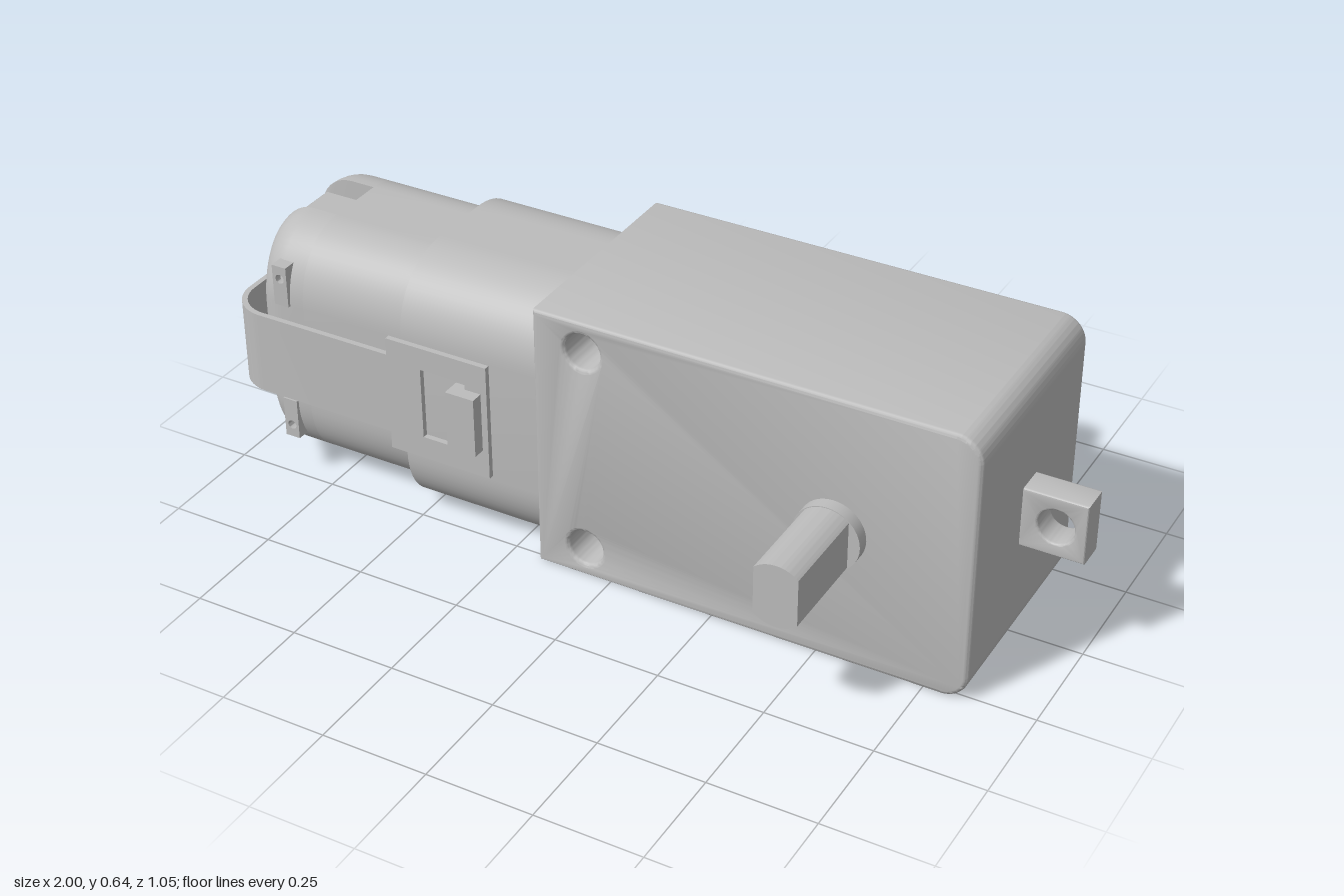
import * as THREE from 'three';
import { toCreasedNormals } from 'three/addons/utils/BufferGeometryUtils.js';

const CY = 0.323; // height of the main axis
const MZ = 0.018; // sideways offset of the motor assembly

export function createModel() {
  const group = new THREE.Group();
  const grey = new THREE.MeshStandardMaterial({ color: 0xbcbcbc });
  grey.name = 'light grey';

  const add = (name, geo, x = 0, y = 0, z = 0) => {
    const mesh = new THREE.Mesh(geo, grey);
    mesh.name = name;
    mesh.position.set(x, y, z);
    group.add(mesh);
    return mesh;
  };
  const box = (name, x0, x1, y0, y1, z0, z1) =>
    add(name, new THREE.BoxGeometry(x1 - x0, y1 - y0, z1 - z0), (x0 + x1) / 2, (y0 + y1) / 2, (z0 + z1) / 2);

  const rect = (x0, x1, y0, y1) =>
    new THREE.Shape([[x0, y0], [x1, y0], [x1, y1], [x0, y1]].map(p => new THREE.Vector2(...p)));
  const circle = (x, y, r) => new THREE.Path().absarc(x, y, r, 0, Math.PI * 2, true);

  // Extrude along z between z0 and z1, with an optional bevel kept inside the outline
  const extrude = (shape, z0, z1, bevel = 0) => {
    const geo = new THREE.ExtrudeGeometry(shape, {
      depth: z1 - z0 - 2 * bevel, curveSegments: 24, bevelEnabled: bevel > 0,
      bevelSize: bevel, bevelThickness: bevel, bevelOffset: -bevel, bevelSegments: 3,
    });
    geo.translate(0, 0, z0 + bevel);
    return toCreasedNormals(geo, 0.6);
  };

  // Rounded motor cross-section, optionally with a notch in the top and bottom
  const section = (hw, hh, notch = hh) => {
    const w = 0.073, k = 0.17;
    const q = new THREE.CubicBezierCurve(
      new THREE.Vector2(hw, hh - k), new THREE.Vector2(hw, hh - k * 0.4),
      new THREE.Vector2(hw * 0.72, hh), new THREE.Vector2(w, hh)).getPoints(14);
    q.push(new THREE.Vector2(w - 0.001, Math.min(hh, notch)));
    const r = [...q].reverse();
    const flip = (list, sz, sy) => list.map(p => [p.x * sz, p.y * sy]);
    return [...flip(q, -1, 1), ...flip(r, 1, 1), ...flip(q, 1, -1), ...flip(r, -1, -1)];
  };

  // Skin closed sections, ordered by increasing x, and close both ends
  const loft = rings => {
    const pos = [], idx = [], n = rings[0].pts.length;
    rings.forEach(({ x, pts }) => pts.forEach(([z, y]) => pos.push(x, y, z)));
    for (let i = 0; i < rings.length - 1; i++) {
      for (let j = 0; j < n; j++) {
        const a = i * n + j, b = i * n + (j + 1) % n;
        idx.push(a, b, a + n, b, b + n, a + n);
      }
    }
    const first = pos.length / 3, last = first + 1, off = (rings.length - 1) * n;
    pos.push(rings[0].x, 0, 0, rings[rings.length - 1].x, 0, 0);
    for (let j = 0; j < n; j++) {
      const k = (j + 1) % n;
      idx.push(first, k, j, last, off + j, off + k);
    }
    const geo = new THREE.BufferGeometry();
    geo.setAttribute('position', new THREE.Float32BufferAttribute(pos, 3));
    geo.setIndex(idx);
    return toCreasedNormals(geo, 0.6);
  };

  // Gearbox housing with two through holes
  const R = 0.06, X0 = -0.18, X1 = 0.85, H = 0.645;
  const housing = new THREE.Shape();
  housing.moveTo(X0, 0);
  housing.lineTo(X1 - R, 0);
  housing.absarc(X1 - R, R, R, -Math.PI / 2, 0);
  housing.lineTo(X1, H - R);
  housing.absarc(X1 - R, H - R, R, 0, Math.PI / 2);
  housing.lineTo(X0, H);
  housing.holes.push(circle(-0.06, 0.073, 0.042), circle(-0.06, 0.575, 0.042));
  add('gearboxHousing', extrude(housing, -0.27, 0.27, 0.01));

  // Mounting tab with a hole
  const tab = rect(0.84, 0.995, 0.253, 0.397);
  tab.holes.push(circle(0.927, 0.325, 0.041));
  add('mountingTab', extrude(tab, -0.036, 0.036, 0.005));

  // Output shafts with two flats, and their collars
  const a = Math.acos(0.05 / 0.075);
  const shaft = new THREE.Shape();
  shaft.absarc(0, 0, 0.075, a, Math.PI - a);
  shaft.absarc(0, 0, 0.075, Math.PI + a, 2 * Math.PI - a);
  shaft.closePath();
  for (const [side, s] of [['front', 1], ['back', -1]]) {
    const collar = new THREE.CylinderGeometry(0.077, 0.077, 0.05, 40).rotateX(Math.PI / 2);
    add(side + 'ShaftCollar', collar, 0.532, 0.325, s * 0.275);
    add(side + 'OutputShaft', extrude(shaft, s > 0 ? 0.26 : -0.525, s > 0 ? 0.525 : -0.26), 0.532, 0.325, 0);
  }

  // Sleeve and motor can
  add('motorSleeve', loft([
    { x: -0.522, pts: section(0.247, 0.319) },
    { x: -0.175, pts: section(0.247, 0.319) }]), 0, CY, MZ);
  add('motorCan', loft([
    { x: -0.8, pts: section(0.222, 0.296) },
    { x: -0.51, pts: section(0.222, 0.296) }]), 0, CY, MZ);

  // Rounded end cap with notched top and bottom
  const capRings = [];
  for (let i = 0; i <= 8; i++) {
    const t = (i / 8) * Math.PI / 2, d = 0.085 * (1 - Math.sin(t));
    capRings.push({ x: -0.86 - 0.085 * Math.cos(t), pts: section(0.222 - d, 0.296 - d, 0.25) });
  }
  capRings.push({ x: -0.8, pts: section(0.222, 0.296, 0.25) });
  add('motorEndCap', loft(capRings), 0, CY, MZ);

  // Rear bearing boss and motor shaft tip
  const disc = (name, r, x0, x1) =>
    add(name, new THREE.CylinderGeometry(r, r, x1 - x0, 32).rotateZ(Math.PI / 2), (x0 + x1) / 2, CY, MZ);
  disc('bearingBoss', 0.105, -0.972, -0.94);
  disc('motorShaftTip', 0.025, -1, -0.96);

  // Electrical terminals
  for (const s of [1, -1]) {
    const terminal = rect(-0.872, -0.835, -0.05, 0.05);
    terminal.holes.push(circle(-0.853, s * 0.018, 0.011));
    add('terminal', extrude(terminal, 0.2, 0.247), 0, CY + s * 0.175, 0);
  }

  // U-shaped strap around the motor end
  const zo = 0.262, th = 0.013, xe = -0.988, r = 0.095;
  const strap = new THREE.Shape();
  strap.moveTo(-0.54, -zo);
  strap.lineTo(-0.54, -zo + th);
  strap.lineTo(xe + r, -zo + th);
  strap.absarc(xe + r, -zo + r, r - th, -Math.PI / 2, -Math.PI, true);
  strap.lineTo(xe + th, zo - r);
  strap.absarc(xe + r, zo - r, r - th, Math.PI, Math.PI / 2, true);
  strap.lineTo(-0.54, zo - th);
  strap.lineTo(-0.54, zo);
  strap.lineTo(xe + r, zo);
  strap.absarc(xe + r, zo - r, r, Math.PI / 2, Math.PI);
  strap.lineTo(xe, -zo + r);
  strap.absarc(xe + r, -zo + r, r, Math.PI, Math.PI * 1.5);
  strap.closePath();
  add('strap', extrude(strap, 0.228, 0.428).rotateX(-Math.PI / 2), 0, 0, MZ);

  // Strap end plates with windows, hooked over nubs on the sleeve
  for (const [side, s] of [['front', 1], ['back', -1]]) {
    const plate = rect(-0.552, -0.295, 0.185, 0.47);
    plate.holes.push(rect(-0.465, -0.35, 0.24, 0.415));
    add(side + 'StrapPlate', extrude(plate, -th / 2, th / 2), 0, 0, MZ + s * (zo - th / 2));
    const z = [MZ + s * 0.235, MZ + s * 0.292].sort((p, q) => p - q);
    box(side + 'SleeveNub', -0.382, -0.31, 0.255, 0.4, z[0], z[1]);
  }

  return group;
}
